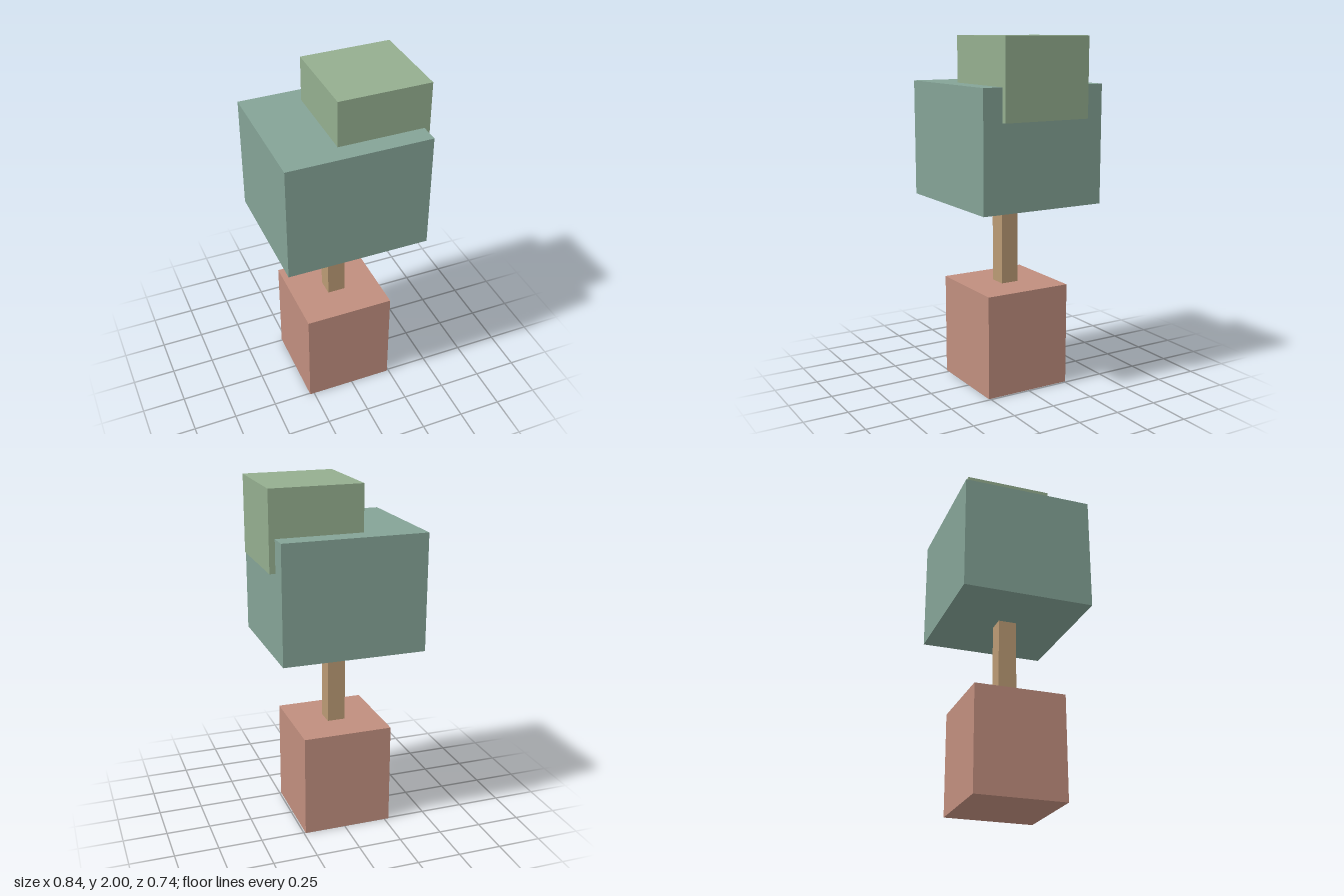
import * as THREE from 'three';

// Box given by its x range, y range and half depth in z
function block(name, color, [x0, x1], [y0, y1], halfDepth) {
  const geometry = new THREE.BoxGeometry(x1 - x0, y1 - y0, halfDepth * 2);
  const material = new THREE.MeshStandardMaterial({ color, flatShading: true });
  const mesh = new THREE.Mesh(geometry, material);
  mesh.name = name;
  mesh.position.set((x0 + x1) / 2, (y0 + y1) / 2, 0);
  return mesh;
}

export function createModel() {
  const group = new THREE.Group();
  group.name = 'pottedTree';
  group.add(
    block('pot', 0xc08e7e, [-0.276, 0.24], [0, 0.592], 0.258),
    // Trunk is sunk slightly into the pot and the crown
    block('trunk', 0xba9a74, [-0.07, 0.034], [0.57, 1.1], 0.052),
    block('crown', 0x84a396, [-0.422, 0.389], [1.08, 1.742], 0.37),
    // Small upper block overhangs the crown on the left side
    block('upperCrown', 0x94ae8f, [-0.097, 0.421], [1.56, 2], 0.258),
  );
  return group;
}
